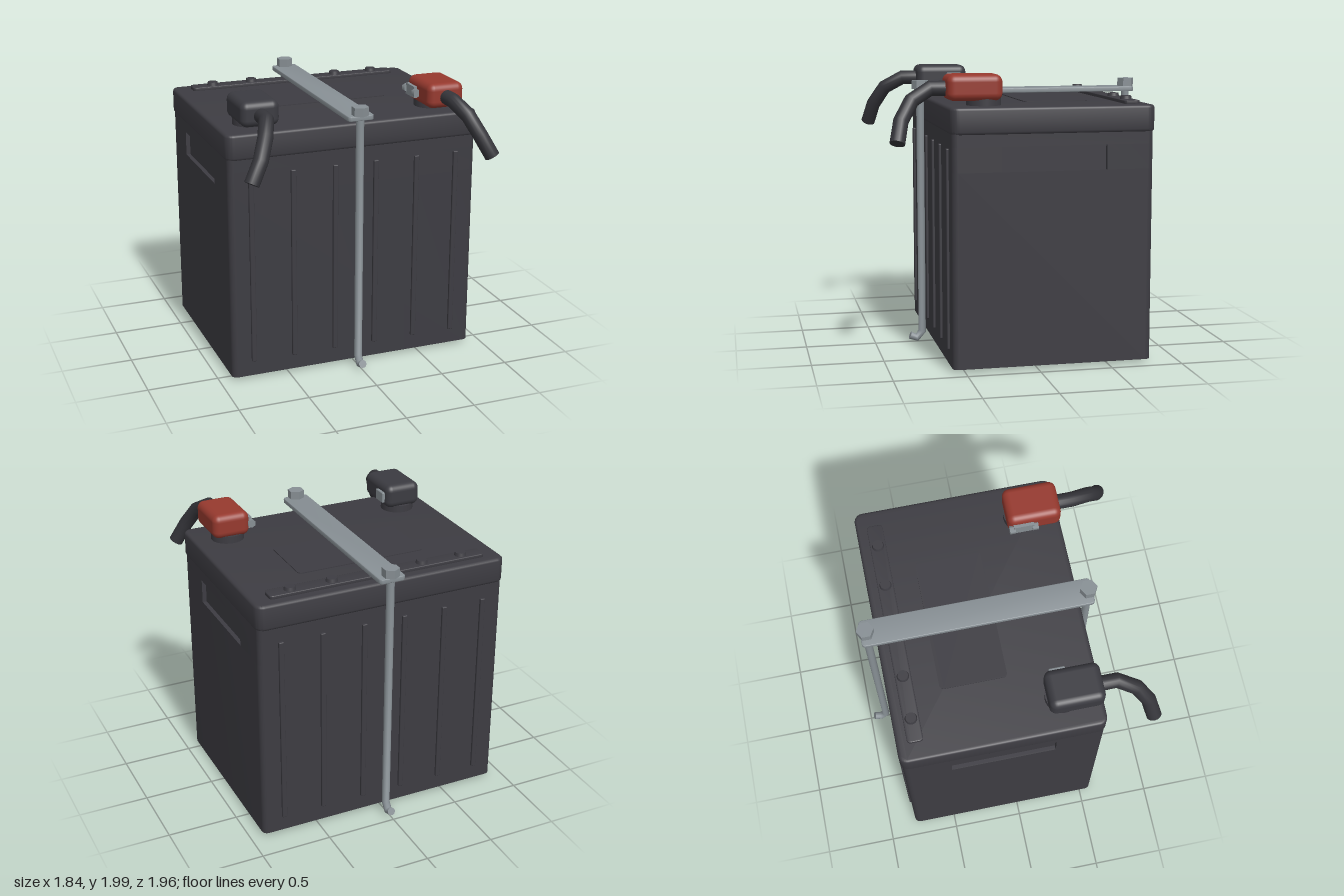
import * as THREE from 'three';
import { RoundedBoxGeometry } from 'three/addons/geometries/RoundedBoxGeometry.js';
import { toCreasedNormals } from 'three/addons/utils/BufferGeometryUtils.js';

const material = (name, color) => new THREE.MeshStandardMaterial({ name, color });
const CASE_Z = -0.11; // middle of the case

// Curve through points with straight runs and mitred bends
class Polyline extends THREE.Curve {
  constructor(points) { super(); this.points = points.map(p => new THREE.Vector3(...p)); }
  getPoint(t) {
    const n = this.points.length - 1, i = Math.min(Math.floor(t * n + 1e-6), n - 1);
    return this.points[i].clone().lerp(this.points[i + 1], t * n - i);
  }
  getPointAt(t) { return this.getPoint(t); }
  getTangentAt(t) {
    const n = this.points.length - 1, i = Math.round(t * n), p = this.points;
    const dir = k => p[k + 1].clone().sub(p[k]).normalize();
    return dir(Math.max(i - 1, 0)).add(dir(Math.min(i, n - 1))).normalize();
  }
}

// Rounded rectangle, with optional notches in its left and right sides
function planShape(w, d, r, notch) {
  const x = w / 2, y = d / 2, s = new THREE.Shape();
  s.moveTo(-x + r, -y);
  s.lineTo(x - r, -y);
  s.absarc(x - r, -y + r, r, -Math.PI / 2, 0);
  if (notch) for (const [a, b] of [[0, 0], [1, 0], [1, 1], [0, 1]]) s.lineTo(x - a * notch.depth, b ? notch.to : notch.from);
  s.absarc(x - r, y - r, r, 0, Math.PI / 2);
  s.absarc(-x + r, y - r, r, Math.PI / 2, Math.PI);
  if (notch) for (const [a, b] of [[0, 1], [1, 1], [1, 0], [0, 0]]) s.lineTo(-x + a * notch.depth, b ? notch.to : notch.from);
  s.absarc(-x + r, -y + r, r, Math.PI, Math.PI * 1.5);
  return s;
}

// Upright slab of a plan shape from y0 to y1; shape y becomes -z
function slab(shape, y0, y1, bevel = 0) {
  const g = new THREE.ExtrudeGeometry(shape, {
    depth: y1 - y0 - 2 * bevel, bevelEnabled: bevel > 0, bevelThickness: bevel,
    bevelSize: bevel, bevelOffset: -bevel, bevelSegments: 3, curveSegments: 6,
  });
  g.rotateX(-Math.PI / 2).translate(0, y0 + bevel, 0);
  return toCreasedNormals(g, 0.6);
}

export function createModel() {
  const model = new THREE.Group();
  model.name = 'battery';
  const plastic = material('case plastic', 0x3d3c42);
  const boot = material('black boot', 0x3b3b41);
  const cableMat = material('cable rubber', 0x343439);
  const red = material('red boot', 0x96392e);
  const steel = material('steel', 0x878f94);

  const add = (name, geometry, mat, x = 0, y = 0, z = 0, parent = model) => {
    const mesh = new THREE.Mesh(geometry, mat);
    mesh.name = name;
    mesh.position.set(x, y, z);
    parent.add(mesh);
    return mesh;
  };
  const tube = (name, points, r, mat) => {
    const curve = new Polyline(points), n = points.length - 1;
    add(name, new THREE.TubeGeometry(curve, n, r, 16), mat);
    // Closed tip
    const cap = add(name + 'Tip', new THREE.CircleGeometry(r, 16), mat, ...points[n]);
    cap.quaternion.setFromUnitVectors(new THREE.Vector3(0, 0, 1), curve.getTangentAt(1));
  };

  // Case, with a hand recess in each side
  add('caseLower', slab(planShape(1.82, 1.385, 0.04), 0.03, 1.36), plastic, 0, 0, CASE_Z);
  add('caseMiddle', slab(planShape(1.82, 1.385, 0.04, { depth: 0.03, from: -0.36, to: 0.365 }), 1.36, 1.53), plastic, 0, 0, CASE_Z);
  add('caseUpper', slab(planShape(1.82, 1.385, 0.04), 1.53, 1.62), plastic, 0, 0, CASE_Z);
  add('lid', slab(planShape(1.84, 1.405, 0.06), 1.61, 1.79, 0.02), plastic, 0, 0, CASE_Z - 0.002);
  add('lidPanel', slab(planShape(0.94, 0.46, 0.03), 1.788, 1.796), plastic, 0, 0, -0.23);

  // Wall ribs, front and back
  for (const z of [0.582, -0.802])
    for (const x of [0.15, 0.455, 0.755])
      for (const side of [-1, 1])
        add('rib', new RoundedBoxGeometry(0.036, 1.37, 0.036, 2, 0.006), plastic, side * x, 0.825, z);

  // Vent strip and caps
  add('ventStrip', slab(planShape(1.59, 0.11, 0.025), 1.785, 1.813, 0.005), plastic, 0, 0, -0.685);
  for (const x of [-0.635, -0.335, 0.335, 0.635])
    add('ventCap', new THREE.CylinderGeometry(0.036, 0.042, 0.024, 20), plastic, x, 1.824, -0.685);

  // Terminals, boots and cables
  for (const side of [-1, 1]) {
    const isRed = side > 0, x = side * 0.675;
    add('terminalBase', new THREE.CylinderGeometry(0.118, 0.118, 0.06, 28), plastic, x, 1.81, 0.325);
    add('terminalBoot', new RoundedBoxGeometry(0.27, 0.175, 0.375, 4, 0.05), isRed ? red : boot, x, 1.9125, 0.4025);
    tube('cable', [[x, 1.905, 0.5], [x, 1.905, 0.69], [side * 0.725, 1.83, 0.82],
      [side * 0.785, 1.7, 0.9], [side * 0.86, 1.56, 0.935]], 0.052, cableMat);
    // Clamp bolt on the inner face
    if (isRed) {
      add('clampPlate', new THREE.BoxGeometry(0.03, 0.08, 0.14), steel, 0.532, 1.905, 0.32);
      for (const z of [0.24, 0.4]) {
        const nut = add('clampNut', new THREE.CylinderGeometry(0.03, 0.03, 0.04, 6).toNonIndexed(), steel, 0.528, 1.905, z);
        nut.rotation.x = Math.PI / 2;
      }
    } else {
      add('clampPlate', new RoundedBoxGeometry(0.035, 0.08, 0.11, 1, 0.008), steel, -0.537, 1.905, 0.315);
    }
  }

  // Hold-down bar with its hooked rods and nuts
  add('holdDownBar', slab(planShape(0.188, 1.6, 0.025), 1.828, 1.862, 0.005), steel, 0, 0, -0.115);
  for (const [z, out] of [[0.655, 1], [-0.877, -1]]) {
    tube('hookRod', [[0, 1.88, z], [0, 0.085, z], [0, 0.035, z + out * 0.04], [0, 0.055, z + out * 0.09]], 0.028, steel);
    const nut = new THREE.CylinderGeometry(0.06, 0.06, 0.06, 6).toNonIndexed();
    nut.computeVertexNormals();
    add('nut', nut, steel, 0, 1.891, z);
  }
  return model;
}
